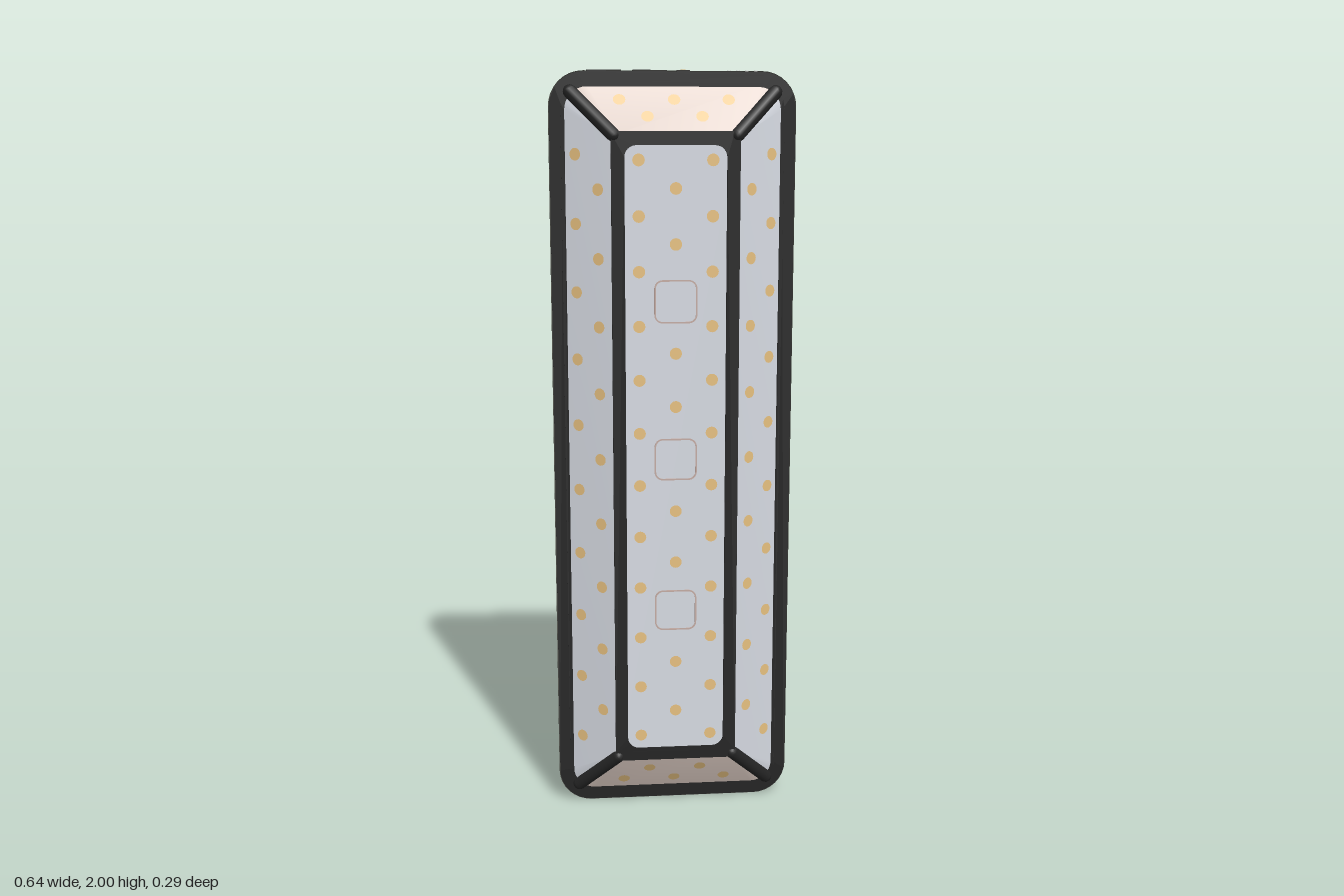
import * as THREE from 'three';
import { toCreasedNormals } from 'three/addons/utils/BufferGeometryUtils.js';

const paint = (name, color, side = THREE.FrontSide) => {
  const m = new THREE.MeshStandardMaterial({ color, side });
  m.name = name;
  return m;
};

const CY = 0.9985;           // height of the lamp's centre
const ARC = 8;               // segments per rounded corner
const SLOPE = Math.atan2(0.078, 0.12);

// Rounded rectangle as corner-by-corner points, counter-clockwise
function outline(w, h, r) {
  const pts = [];
  [[1, 1], [-1, 1], [-1, -1], [1, -1]].forEach(([sx, sy], k) => {
    for (let i = 0; i <= ARC; i++) {
      const a = (k + i / ARC) * Math.PI / 2;
      pts.push(new THREE.Vector2(sx * (w / 2 - r) + r * Math.cos(a), sy * (h / 2 - r) + r * Math.sin(a)));
    }
  });
  return pts;
}

// Surface between successive outlines [points, z]; optionally only a run of the loop
function loft(loops, start = 0, count = 4 * (ARC + 1)) {
  const pos = [];
  const total = 4 * (ARC + 1);
  for (let l = 0; l + 1 < loops.length; l++) {
    const [a, za] = loops[l], [b, zb] = loops[l + 1];
    for (let k = 0; k < count; k++) {
      const i = (start + k) % total, j = (i + 1) % total;
      const A = [a[i].x, a[i].y, za], B = [a[j].x, a[j].y, za];
      const C = [b[j].x, b[j].y, zb], D = [b[i].x, b[i].y, zb];
      pos.push(...A, ...B, ...C, ...A, ...C, ...D);
    }
  }
  const g = new THREE.BufferGeometry();
  g.setAttribute('position', new THREE.Float32BufferAttribute(pos, 3));
  return toCreasedNormals(g, 0.45);
}

// Flat frame with a rounded hole, from z to z + depth
function frame(outer, inner, z, depth) {
  const s = new THREE.Shape(outline(...outer));
  s.holes.push(new THREE.Path(outline(...inner)));
  return new THREE.ExtrudeGeometry(s, { depth, bevelEnabled: false }).translate(0, 0, z);
}

export function createModel() {
  const casing = paint('casing grey', 0x55564f, THREE.DoubleSide);
  const black = paint('trim black', 0x242424);
  const lens = paint('lens white', 0xd6dae2, THREE.DoubleSide);
  const endLens = paint('end lens beige', 0xdccbc2, THREE.DoubleSide);
  const amber = paint('led amber', 0xe6c080);
  const strapRed = paint('strap red', 0x3a0a0e);
  const thread = paint('stitch grey', 0x5f5552);
  const outlineTan = paint('outline tan', 0xc4aca4);
  const white = paint('indicator white', 0xf0f0f0);

  const model = new THREE.Group();
  model.name = 'lampPanel';
  const lamp = new THREE.Group();
  lamp.name = 'lamp';
  lamp.position.y = CY;
  model.add(lamp);
  const add = (name, geo, mat, x = 0, y = 0, z = 0, parent = lamp) => {
    const m = new THREE.Mesh(geo, mat);
    m.name = name;
    m.position.set(x, y, z);
    parent.add(m);
    return m;
  };

  // Hollow casing: sloping back and straight band
  const rim = outline(0.64, 1.997, 0.09);
  add('casing', loft([[outline(0.32, 1.56, 0.02), -0.135], [rim, -0.01], [rim, 0.054]]), casing);
  add('backOpeningRim', frame([0.32, 1.56, 0.02], [0.296, 1.53, 0.015], -0.135, 0.03), casing);

  // Black front trim
  add('frontTrim', frame([0.636, 1.993, 0.088], [0.566, 1.925, 0.06], 0.05, 0.007), black);
  add('lensLip', frame([0.578, 1.937, 0.064], [0.558, 1.917, 0.058], 0.055, 0.006), black);
  add('centreTrim', frame([0.33, 1.695, 0.025], [0.262, 1.625, 0.03], 0.126, 0.014), black);

  // Lens: four sloping panels around a flat centre
  const lensOuter = outline(0.57, 1.93, 0.06), lensInner = outline(0.32, 1.68, 0.01);
  ['topLens', 'rightLens', 'bottomLens', 'leftLens'].forEach((name, k) => {
    const geo = loft([[lensOuter, 0.057], [lensInner, 0.136]], k * (ARC + 1) + ARC / 2, ARC + 1);
    add(name, geo, k % 2 ? lens : endLens);
  });
  add('centreLens', new THREE.PlaneGeometry(0.31, 1.67), lens, 0, 0, 0.1355);

  // Struts over the lens corners
  for (const sx of [-1, 1]) for (const sy of [-1, 1]) {
    const a = new THREE.Vector3(sx * 0.158, sy * 0.838, 0.128);
    const b = new THREE.Vector3(sx * 0.264, sy * 0.946, 0.06);
    const d = b.clone().sub(a);
    const strut = add('cornerStrut', new THREE.CapsuleGeometry(0.018, d.length(), 4, 12), black);
    strut.position.copy(a).add(b).multiplyScalar(0.5);
    strut.quaternion.setFromUnitVectors(new THREE.Vector3(0, 1, 0), d.normalize());
  }

  // LED dots
  const dotGeo = new THREE.CircleGeometry(0.016, 16);
  const slopeZ = (d) => 0.136 - d * 0.632 + 0.003;
  for (let i = 0; i < 12; i++)
    for (const s of [-1, 1]) add('led', dotGeo, amber, s * 0.095, 0.776 - 0.141 * i, 0.1375);
  for (let i = 0; i < 11; i++)
    if (i % 3 !== 2) add('led', dotGeo, amber, 0, 0.705 - 0.141 * i, 0.1375);
  for (const s of [-1, 1]) {
    for (let i = 0; i < 19; i++) {
      const x = i % 2 ? 0.198 : 0.254;
      add('sideLed', dotGeo, amber, s * x, 0.79 - 0.088 * i, slopeZ(x - 0.16)).rotation.y = s * SLOPE;
    }
    for (let i = 0; i < 5; i++) {
      const d = i % 2 ? 0.044 : 0.086;
      add('endLed', dotGeo, amber, (i - 2) * 0.07, s * (0.84 + d), slopeZ(d)).rotation.x = -s * SLOPE;
    }
  }

  // Outlined squares on the centre lens
  const square = frame([0.112, 0.112, 0.022], [0.104, 0.104, 0.018], 0.134, 0.004);
  for (const y of [0.417, 0, -0.417]) add('squareOutline', square, outlineTan, 0, y);

  // Ports and indicators on the top edge
  const top = 0.9985;
  const port = (name, x, w) => add(name, new THREE.BoxGeometry(w, 0.006, 0.028), black, x, top, 0.021);
  port('portCover', -0.176, 0.089);
  port('portCover', -0.058, 0.089);
  port('powerButton', 0.029, 0.034);
  add('buttonLight', new THREE.CylinderGeometry(0.007, 0.007, 0.008, 16), amber, 0.029, top, 0.021);
  for (let i = 0; i < 4; i++)
    add('indicator', new THREE.CylinderGeometry(0.005, 0.005, 0.005, 12), white, 0.148 + i * 0.0233, top, 0.021);

  // Strap across the back opening, folded down at both ends
  const path = [[-0.074, 0.905], [-0.141, 0.785], [-0.141, -0.785], [-0.074, -0.905]];
  const inner = path.map(([z, y]) => [z + 0.004, y * 0.998]).reverse();
  const strapShape = new THREE.Shape([...path, ...inner].map(([z, y]) => new THREE.Vector2(z, y)));
  const strapGeo = new THREE.ExtrudeGeometry(strapShape, { depth: 0.166, bevelEnabled: false });
  add('strap', strapGeo.rotateY(-Math.PI / 2).translate(0.083, 0, 0), strapRed);
  const stitchGeo = new THREE.BoxGeometry(0.003, 0.012, 0.002);
  for (let i = 0; i < 76; i++)
    for (const s of [-1, 1]) add('stitch', stitchGeo, thread, s * 0.07, -0.75 + i * 0.02, -0.141);

  // Strap brackets with screws at both ends of the opening
  for (const turn of [0, Math.PI]) {
    const end = new THREE.Group();
    end.name = turn ? 'bottomBracket' : 'topBracket';
    end.rotation.z = turn;
    lamp.add(end);
    for (const s of [-1, 1]) {
      const tab = new THREE.Group();
      tab.name = 'bracketTab';
      tab.position.set(s * 0.123, 0.806, -0.123);
      tab.rotation.x = 0.517;
      end.add(tab);
      add('tabPlate', new THREE.BoxGeometry(0.074, 0.064, 0.014), casing, 0, 0, 0, tab);
      add('screw', new THREE.CylinderGeometry(0.011, 0.011, 0.004, 16).rotateX(Math.PI / 2), black, s * 0.006, 0, -0.007, tab);
    }
    add('bracketBar', new THREE.BoxGeometry(0.3, 0.02, 0.02), casing, 0, 0.77, -0.124, end);
  }
  return model;
}
